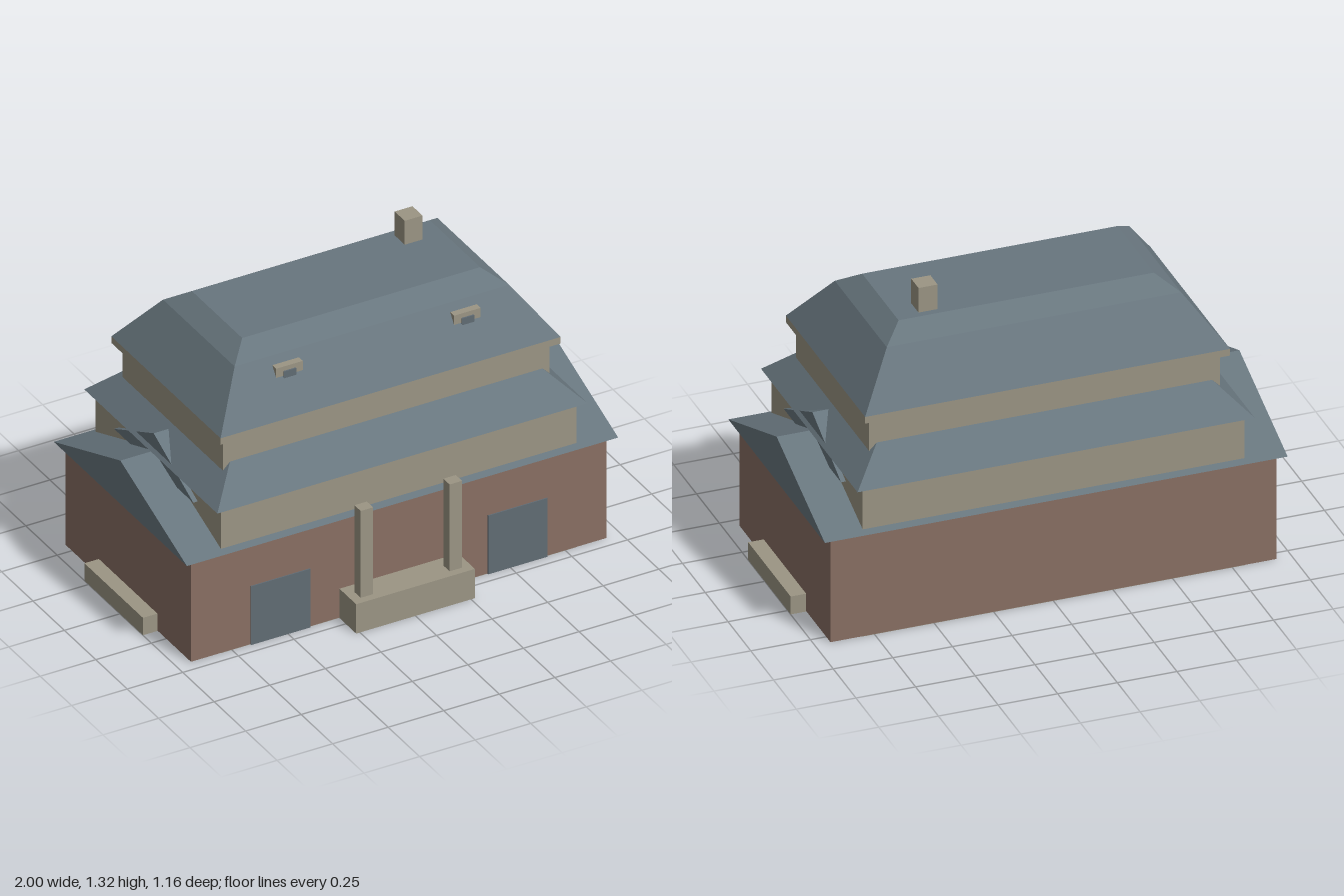
import * as THREE from 'three';

const material = (name, color) => {
  const m = new THREE.MeshStandardMaterial({ color });
  m.name = name;
  return m;
};

const CZ = -0.05; // depth centre of the house

export function createModel() {
  const house = new THREE.Group();
  house.name = 'house';
  const stone = material('stone', 0x9b9584);
  const brick = material('brick', 0x896f63);
  const slate = material('slate', 0x68767e);
  const glass = material('door blue', 0x616c74);

  const add = (name, geometry, mat) => {
    const mesh = new THREE.Mesh(geometry, mat);
    mesh.name = name;
    house.add(mesh);
    return mesh;
  };

  // Box given by its extents on each axis
  const box = (name, mat, [x0, x1], [y0, y1], [z0, z1]) => {
    const g = new THREE.BoxGeometry(x1 - x0, y1 - y0, z1 - z0);
    g.translate((x0 + x1) / 2, (y0 + y1) / 2, (z0 + z1) / 2);
    return add(name, g, mat);
  };

  // Hipped roof lofted through rectangles [y, half width, half depth]
  const hipRoof = (name, rings) => {
    const p = [];
    const corners = rings.map(([y, w, d]) => [
      [-w, y, CZ + d], [w, y, CZ + d], [w, y, CZ - d], [-w, y, CZ - d],
    ]);
    const quad = (a, b, c, d) => p.push(...a, ...b, ...c, ...a, ...c, ...d);
    for (let i = 0; i < corners.length - 1; i++) {
      const lo = corners[i], hi = corners[i + 1];
      for (let k = 0; k < 4; k++) {
        const n = (k + 1) % 4;
        quad(lo[k], lo[n], hi[n], hi[k]);
      }
    }
    const [a, b, c, d] = corners[0];
    quad(d, c, b, a);
    quad(...corners[corners.length - 1]);
    const g = new THREE.BufferGeometry();
    g.setAttribute('position', new THREE.Float32BufferAttribute(p, 3));
    g.computeVertexNormals();
    return add(name, g, slate);
  };

  // Triangular prism with its ridge along x
  const gableRoof = (name, halfLength, halfDepth, y0, y1) => {
    const s = new THREE.Shape();
    s.moveTo(-halfDepth, y0);
    s.lineTo(halfDepth, y0);
    s.lineTo(0, y1);
    s.closePath();
    const g = new THREE.ExtrudeGeometry(s, { depth: halfLength * 2, bevelEnabled: false });
    g.translate(0, 0, -halfLength);
    g.rotateY(Math.PI / 2);
    g.translate(0, 0, CZ);
    return add(name, g, slate);
  };

  // Stacked walls
  box('floorSlab', stone, [-0.8, 0.8], [0, 0.004], [-0.549, 0.449]);
  box('groundFloor', brick, [-0.935, 0.935], [0.002, 0.47], [-0.55, 0.45]);
  box('middleFloor', stone, [-0.8, 0.8], [0.46, 0.672], [-0.55, 0.45]);
  box('upperFloor', stone, [-0.735, 0.735], [0.7, 0.92], [-0.45, 0.35]);
  box('cornice', stone, [-0.765, 0.765], [0.915, 0.945], [-0.485, 0.385]);

  // Roofs
  gableRoof('lowerGableRoof', 0.97, 0.53, 0.47, 0.67);
  gableRoof('sideGable', 0.82, 0.315, 0.6, 0.75);
  hipRoof('middleRoof', [[0.67, 0.833, 0.53], [0.805, 0.698, 0.395]]);
  hipRoof('topRoof', [[0.945, 0.765, 0.435], [1.15, 0.617, 0.285], [1.21, 0.535, 0.2]]);
  box('chimney', stone, [0.36, 0.44], [1.15, 1.32], [-0.22, -0.14]);

  // Front terrace
  box('terrace', stone, [-0.267, 0.267], [0, 0.135], [0.45, 0.583]);

  // Paired parts on the left and right
  for (const s of [-1, 1]) {
    const side = s > 0 ? 'left' : 'right';
    const span = (a, b) => (s > 0 ? [a, b] : [-b, -a]);
    box(side + 'Column', stone, span(0.172, 0.228), [0.135, 0.535], [0.5, 0.55]);
    box(side + 'Door', glass, span(0.4, 0.667), [0, 0.27], [0.45, 0.455]);
    box(side + 'SideStep', stone, span(0.93, 1), [0, 0.08], [-0.283, 0.183]);
    box(side + 'Dormer', stone, span(0.34, 0.46), [1.073, 1.12], [0.22, 0.288]);
    box(side + 'DormerWindow', glass, span(0.373, 0.428), [1.066, 1.1], [0.285, 0.294]);
  }
  return house;
}
